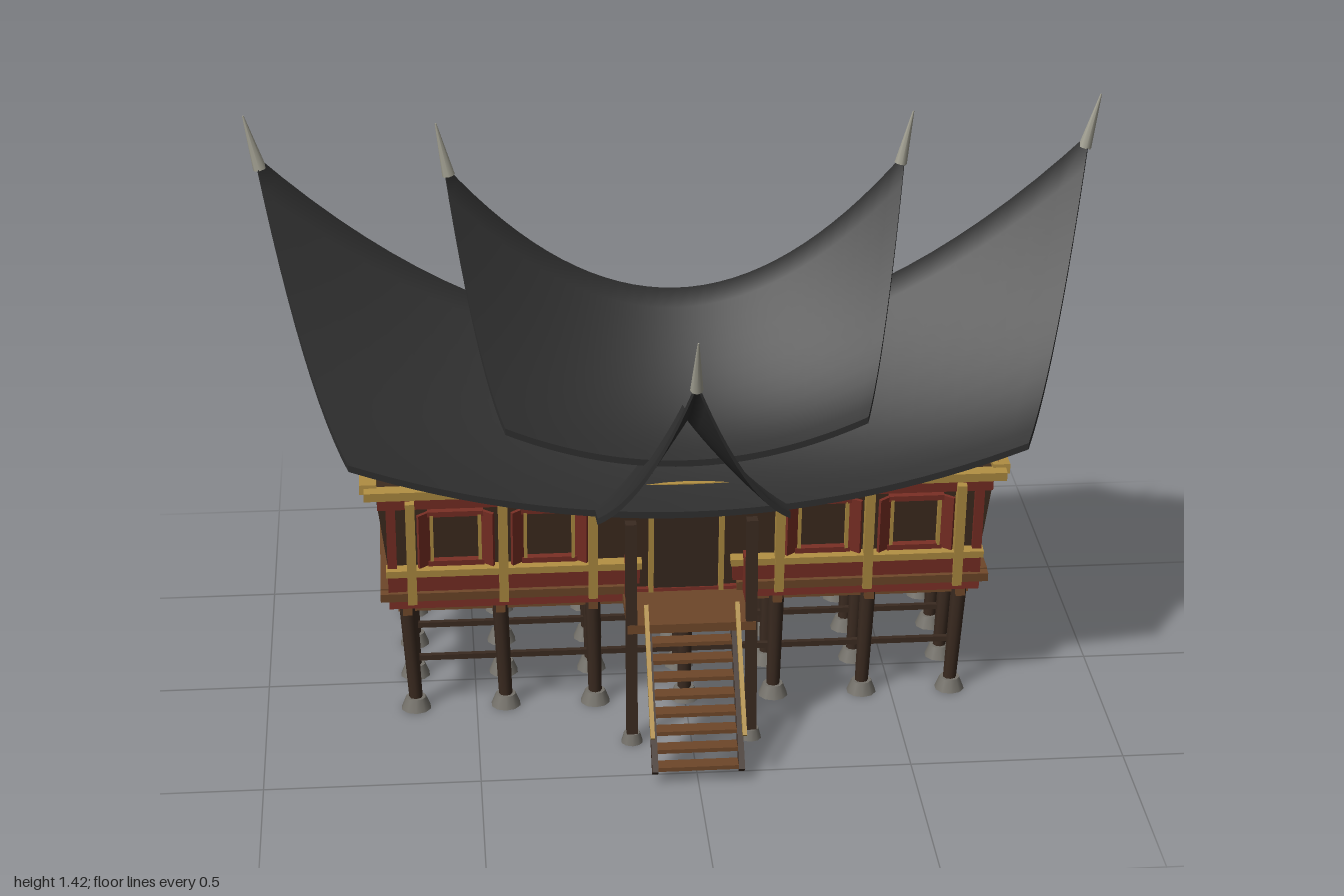
import * as THREE from 'three';

const mat = (name, color, side = THREE.FrontSide) => {
  const m = new THREE.MeshStandardMaterial({ color, side });
  m.name = name;
  return m;
};

export function createModel() {
  const M = {
    roof: mat('black thatch', 0x2e2e2e, THREE.DoubleSide),
    wall: mat('dark wall', 0x3d2b1f),
    post: mat('dark timber', 0x3a2a20),
    wood: mat('brown timber', 0x6e4729),
    red: mat('red paint', 0x782e24, THREE.DoubleSide),
    gold: mat('gold paint', 0xb08d42),
    stone: mat('grey stone', 0x737069),
    horn: mat('pale horn', 0xa3a193),
  };
  const model = new THREE.Group();

  const add = (name, geo, material, parent = model) => {
    const mesh = new THREE.Mesh(geo, material);
    mesh.name = name;
    parent.add(mesh);
    return mesh;
  };
  const box = (name, material, w, h, d, x, y, z, parent) => {
    const mesh = add(name, new THREE.BoxGeometry(w, h, d), material, parent);
    mesh.position.set(x, y, z);
    return mesh;
  };
  // round bar or spike from a to b
  const rod = (name, material, a, b, r0, r1, sides = 8) => {
    const p = new THREE.Vector3(...a), q = new THREE.Vector3(...b);
    const dir = q.clone().sub(p);
    const mesh = add(name, new THREE.CylinderGeometry(r1, r0, dir.length(), sides), material);
    mesh.position.copy(p).add(q).multiplyScalar(0.5);
    mesh.quaternion.setFromUnitVectors(new THREE.Vector3(0, 1, 0), dir.normalize());
    return mesh;
  };
  // square bar in a plane of constant x, running from (y0, z0) to (y1, z1)
  const slopedBar = (name, material, x, y0, z0, y1, z1, w, h) => {
    const bar = box(name, material, w, h, Math.hypot(y1 - y0, z1 - z0), x, (y0 + y1) / 2, (z0 + z1) / 2);
    bar.rotation.x = Math.atan2(y0 - y1, z1 - z0);
    return bar;
  };

  // saddle roof: a slab bent by rule(u, s), where u runs along the ridge and s from ridge to eave
  const saddleRoof = (name, halfSpan, rule) => {
    const geo = new THREE.BoxGeometry(2, 1, 2, 32, 1, 24);
    const p = geo.attributes.position;
    for (let i = 0; i < p.count; i++) {
      const v = p.getZ(i), s = Math.abs(v);
      const { along, ridge, eave } = rule(p.getX(i), s);
      const fall = 1.65 * s - 0.65 * s * s;
      const y = ridge + (eave - ridge) * fall - (p.getY(i) < 0 ? 0.016 : 0);
      p.setXYZ(i, along, y, v * halfSpan);
    }
    geo.computeVertexNormals();
    return add(name, geo, M.roof);
  };

  // main and upper roofs
  saddleRoof('mainRoof', 0.436, (u, s) => ({
    along: u * (0.975 - 0.195 * s), ridge: 0.85 + 0.475 * u * u, eave: 0.583 + 0.145 * u * u,
  })).position.z = -0.12;
  saddleRoof('upperRoof', 0.347, (u, s) => ({
    along: u * (0.54 - 0.12 * s), ridge: 0.962 + 0.325 * u * u, eave: 0.67 + 0.095 * u * u,
  })).position.z = -0.125;

  // porch roof, rising to the front
  saddleRoof('porchRoof', 0.22, (u, s) => {
    const t = (u + 1) / 2;
    return {
      along: 0.05 + t * (0.43 - 0.07 * s),
      ridge: 0.745 + 0.235 * t ** 1.8,
      eave: 0.568 + 0.05 * t * t,
    };
  }).rotation.y = -Math.PI / 2;

  // horn finials
  for (const s of [-1, 1]) {
    rod('mainFinial', M.horn, [s * 0.965, 1.29, -0.12], [s * 0.998, 1.42, -0.12], 0.016, 0.002);
    rod('upperFinial', M.horn, [s * 0.53, 1.26, -0.125], [s * 0.557, 1.388, -0.125], 0.015, 0.002);
  }
  rod('porchFinial', M.horn, [0, 0.955, 0.472], [0, 1.085, 0.515], 0.015, 0.002);

  // house body, flaring outward toward the top
  const body = new THREE.BoxGeometry(2, 1, 2);
  const bp = body.attributes.position;
  for (let i = 0; i < bp.count; i++) {
    const top = bp.getY(i) > 0, front = bp.getZ(i) > 0;
    bp.setXYZ(i, bp.getX(i) * (top ? 0.725 : 0.69), top ? 0.61 : 0.31,
      front ? (top ? 0.205 : 0.165) : (top ? -0.435 : -0.42));
  }
  body.computeVertexNormals();
  add('houseWalls', body, M.wall);
  box('floor', M.wood, 1.4, 0.025, 0.6, 0, 0.3, -0.125);
  box('rearSillBeam', M.red, 1.4, 0.035, 0.02, 0, 0.312, -0.425);
  box('frontSillBeam', M.red, 1.4, 0.03, 0.02, 0, 0.305, 0.17);

  // gable ends with beams
  const gable = new THREE.Shape([
    new THREE.Vector2(-0.2, 0.61), new THREE.Vector2(0.44, 0.61), new THREE.Vector2(0.12, 1.045),
  ]);
  for (const s of [-1, 1]) {
    const panel = add('gablePanel', new THREE.ShapeGeometry(gable), M.red);
    panel.rotation.y = Math.PI / 2;
    panel.position.x = s * 0.735;
    box('gableBeam', M.gold, 0.04, 0.024, 0.65, s * 0.74, 0.612, -0.122);
    box('sideSillBeam', M.wood, 0.03, 0.03, 0.6, s * 0.705, 0.325, -0.128);
  }

  // front facade, leaning outward with the wall
  const facade = new THREE.Group();
  facade.name = 'frontFacade';
  facade.position.set(0, 0.31, 0.165);
  facade.rotation.x = Math.atan2(0.04, 0.3);
  model.add(facade);
  box('topRail', M.gold, 1.5, 0.022, 0.03, 0, 0.297, 0.006, facade);
  box('upperBand', M.red, 1.44, 0.028, 0.014, 0, 0.27, 0.006, facade);
  for (const s of [-1, 1]) {
    box('sillRail', M.gold, 0.6, 0.018, 0.03, s * 0.405, 0.085, 0.012, facade);
    box('lowerBand', M.red, 0.58, 0.042, 0.02, s * 0.4, 0.052, 0.008, facade);
    box('baseRail', M.wood, 0.6, 0.022, 0.024, s * 0.42, 0.016, 0.01, facade);
    box('cornerPost', M.red, 0.022, 0.27, 0.02, s * 0.69, 0.15, 0.004, facade);
    for (const x of [0.22, 0.43, 0.645]) {
      box('facadePost', M.gold, 0.022, 0.28, 0.028, s * x, 0.14, 0.016, facade);
    }
    for (const x of [0.322, 0.54]) {
      // window frame and open shutters
      for (const k of [-1, 1]) {
        box('windowFrameBar', M.red, 0.13, 0.014, 0.016, s * x, 0.174 + k * 0.068, 0.008, facade);
        box('windowFrameEdge', M.gold, 0.008, 0.13, 0.016, s * x + k * 0.056, 0.174, 0.008, facade);
        const shutter = box('shutter', M.red, 0.034, 0.145, 0.008, s * x + k * 0.074, 0.174, 0.016, facade);
        shutter.rotation.y = -k * 0.6;
      }
    }
    box('doorFrameSide', M.gold, 0.012, 0.25, 0.02, s * 0.083, 0.125, 0.008, facade);
  }
  box('doorFrameTop', M.gold, 0.178, 0.014, 0.02, 0, 0.25, 0.008, facade);
  box('door', M.post, 0.15, 0.24, 0.008, 0, 0.125, 0.006, facade);

  // stilts on stone footings, leaning slightly outward
  const columns = [-0.645, -0.43, -0.215, 0, 0.215, 0.43, 0.645];
  const rows = [0.13, -0.04, -0.205, -0.375];
  for (const z of rows) {
    for (const x of columns) {
      rod('stilt', M.post, [x, 0.025, z], [x * 1.022, 0.29, z + (z + 0.122) * 0.05], 0.016, 0.019);
      add('footing', new THREE.CylinderGeometry(0.024, 0.036, 0.03, 10), M.stone).position.set(x, 0.015, z);
    }
    box('tieBeam', M.post, 1.3, 0.013, 0.013, 0, 0.135, z);
    box('floorBeam', M.wood, 1.36, 0.022, 0.022, 0, 0.277, z * 1.03);
  }
  for (const x of columns) box('floorJoist', M.wood, 0.022, 0.022, 0.59, x * 1.02, 0.279, -0.122);

  // porch deck, posts and side panels
  box('porchDeck', M.wood, 0.3, 0.022, 0.19, 0, 0.301, 0.257);
  for (const s of [-1, 1]) {
    box('porchPost', M.post, 0.026, 0.55, 0.026, s * 0.14, 0.295, 0.338);
    add('porchFooting', new THREE.CylinderGeometry(0.019, 0.026, 0.025, 10), M.stone)
      .position.set(s * 0.14, 0.0125, 0.338);
    box('porchSidePanel', M.red, 0.012, 0.105, 0.16, s * 0.14, 0.364, 0.268);

    // stair stringers and handrails
    slopedBar('stairStringer', M.post, s * 0.1, 0.292, 0.325, 0.028, 0.545, 0.014, 0.024);
    slopedBar('stairHandrail', M.gold, s * 0.106, 0.36, 0.345, 0.12, 0.548, 0.01, 0.014);
  }
  for (let i = 0; i < 8; i++) {
    const t = i / 7;
    box('stairTread', M.wood, 0.2, 0.01, 0.036, 0, 0.038 + t * 0.225, 0.53 - t * 0.188);
  }
  return model;
}
